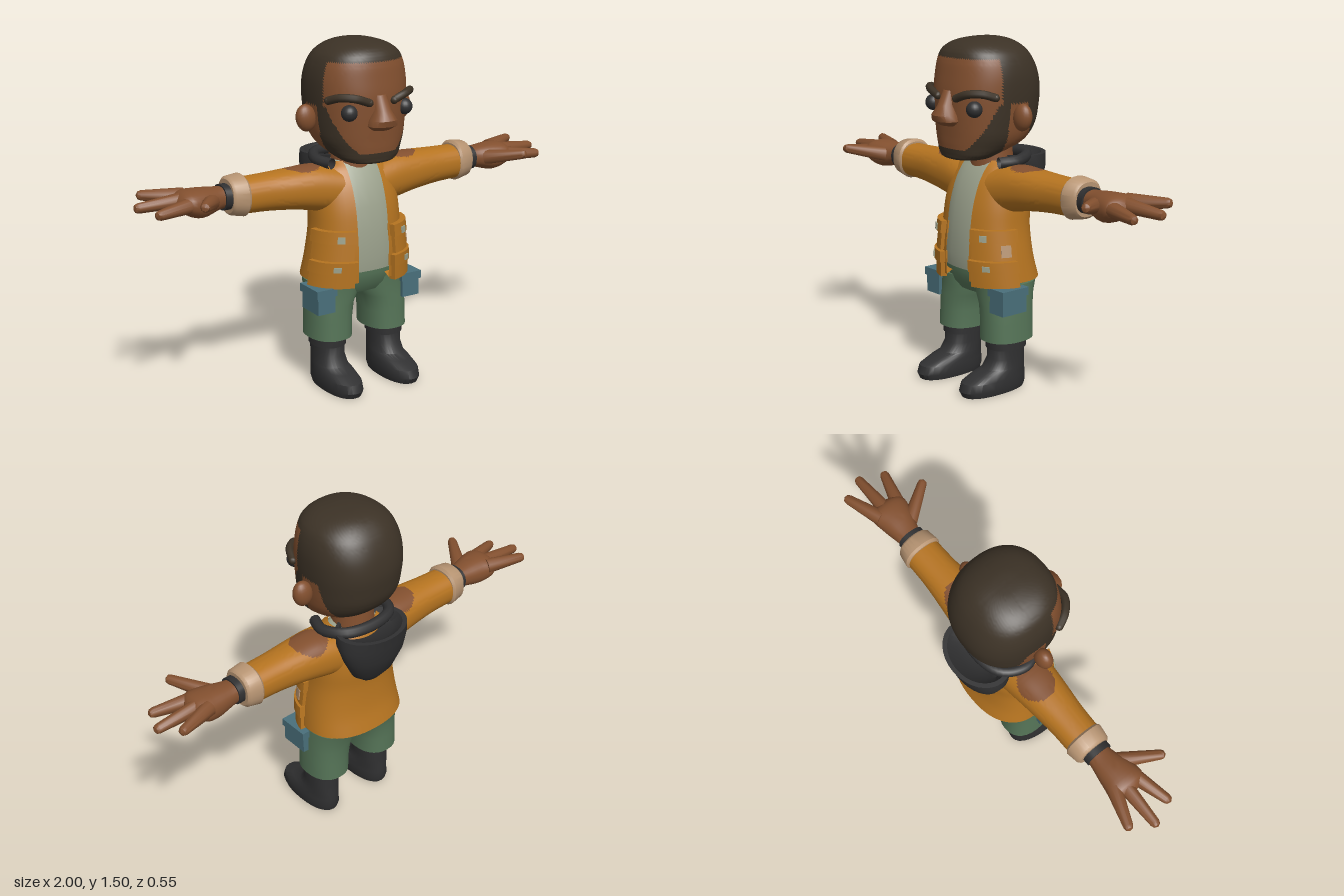
import * as THREE from 'three';
import { toCreasedNormals } from 'three/addons/utils/BufferGeometryUtils.js';

const mat = (name, color, side = THREE.FrontSide) => {
  const m = new THREE.MeshStandardMaterial({ color, side });
  m.name = name;
  return m;
};
const power = (v, p) => Math.sign(v) * Math.abs(v) ** p;

// smooth extra rows between the given ones
function smoothRows(rows, count) {
  const size = rows[0].length;
  const curve = new THREE.CubicInterpolant(
    new Float32Array(rows.map((r, i) => i)), new Float32Array(rows.flat()), size);
  return Array.from({ length: count + 1 }, (_, i) =>
    Array.from(curve.evaluate((i / count) * (rows.length - 1))));
}

// skin over rounded sections: row = [y, half width, z front, z back, centre x]
// gap leaves an open front, a0..a1 limits the sweep (0 = front, PI/2 = +x)
function loft(rows, { n = 28, e = 2.3, gap = 0, a0 = 0, a1 = Math.PI * 2, inset = 0 } = {}) {
  const pos = [], index = [];
  for (const [y, w, zf, zb, cx = 0] of rows) {
    const g = gap ? Math.asin(Math.min(0.9, gap / w) ** (e / 2)) : 0;
    for (let i = 0; i <= n; i++) {
      const edge = inset && (i === 0 || i === n);
      const k = inset ? (Math.min(Math.max(i, 1), n - 1) - 1) / (n - 2) : i / n;
      const a = a0 + g + (a1 - a0 - 2 * g) * k, s = edge ? inset : 0;
      pos.push(cx + (w - s) * power(Math.sin(a), 2 / e), y,
        (zf + zb) / 2 + ((zf - zb) / 2 - s) * power(Math.cos(a), 2 / e));
    }
  }
  for (let j = 0; j < rows.length - 1; j++) for (let i = 0; i < n; i++) {
    const p = j * (n + 1) + i, q = p + n + 1;
    index.push(p, p + 1, q, p + 1, q + 1, q);
  }
  const geo = new THREE.BufferGeometry();
  geo.setAttribute('position', new THREE.Float32BufferAttribute(pos, 3));
  geo.setIndex(index);
  return toCreasedNormals(geo, 0.7);
}

// sort triangles into material groups by a rule on their centre
function paint(geo, kinds, rule) {
  const p = geo.attributes.position, lists = Array.from({ length: kinds }, () => []);
  for (let i = 0; i < p.count; i += 3) {
    const mid = f => (p[f](i) + p[f](i + 1) + p[f](i + 2)) / 3;
    lists[rule(mid('getX'), mid('getY'), mid('getZ'))].push(i, i + 1, i + 2);
  }
  geo.setIndex(lists.flat());
  let start = 0;
  lists.forEach((l, k) => { geo.addGroup(start, l.length, k); start += l.length; });
  return geo;
}

const close = r => [r[0], 0, (r[2] + r[3]) / 2, (r[2] + r[3]) / 2, r[4] || 0];
const capped = rows => [close(rows[0]), ...rows, close(rows[rows.length - 1])];

// round tapering finger from a to b
function finger(a, b, ra, rb) {
  const A = new THREE.Vector3(...a), d = new THREE.Vector3(...b).sub(A), L = d.length();
  const rows = [[0, 0], [0, ra], [L - rb, rb], [L - rb * 0.35, rb * 0.75], [L, 0]];
  const geo = loft(rows.map(([y, r]) => [y, r, r, -r]), { n: 12, e: 2 });
  geo.applyQuaternion(new THREE.Quaternion().setFromUnitVectors(new THREE.Vector3(0, 1, 0), d.normalize()));
  return geo.translate(...a);
}

const jacketRows = [
  [0.48, 0.235, 0.165, -0.19], [0.58, 0.222, 0.168, -0.165], [0.7, 0.205, 0.16, -0.155],
  [0.8, 0.2, 0.145, -0.16], [0.89, 0.19, 0.115, -0.15], [0.95, 0.165, 0.08, -0.13], [0.985, 0.11, 0.05, -0.1],
];

// raised patch that follows the jacket surface
function jacketPatch(y0, y1, a0, a1, off) {
  const at = (y, o) => {
    const i = Math.max(0, jacketRows.findLastIndex(r => r[0] <= y));
    const A = jacketRows[i], B = jacketRows[i + 1], t = (y - A[0]) / (B[0] - A[0]);
    const [, w, f, b] = A.map((v, k) => v + (B[k] - v) * t);
    return [y, w + o, f + o, b - o];
  };
  return loft([at(y0, -0.01), at(y0, off), at(y1, off), at(y1, -0.01)], { n: 14, a0, a1, inset: off + 0.01 });
}

export function createModel() {
  const skin = mat('skin', 0x83502f), hair = mat('hair', 0x3c3226), black = mat('black', 0x303031, THREE.DoubleSide);
  const orange = mat('orange jacket', 0xb67420, THREE.DoubleSide), shirtMat = mat('pale shirt', 0x9ca28d);
  const green = mat('green trousers', 0x567558), tan = mat('tan cuff', 0xb89573), teal = mat('teal pouch', 0x4a707b);
  const model = new THREE.Group();
  const add = (parent, name, geo, material) => {
    const m = new THREE.Mesh(geo, material);
    m.name = name;
    parent.add(m);
    return m;
  };

  // head with painted hair and beard
  const head = smoothRows([
    [1.0, 0, 0.13, 0.13], [1.0, 0.09, 0.19, 0.04], [1.02, 0.135, 0.2, 0.0], [1.06, 0.17, 0.205, -0.12],
    [1.1, 0.19, 0.207, -0.17], [1.15, 0.2, 0.21, -0.2], [1.21, 0.206, 0.213, -0.212], [1.28, 0.21, 0.214, -0.217],
    [1.35, 0.207, 0.206, -0.205], [1.41, 0.192, 0.196, -0.18], [1.45, 0.167, 0.18, -0.15],
    [1.48, 0.12, 0.14, -0.11], [1.496, 0.06, 0.07, -0.06], [1.5, 0, 0, 0],
  ], 78);
  add(model, 'head', paint(loft(head, { n: 120 }), 2, (x, y, z) => {
    if (y > 1.422 || (z > 0.07 && y < 1.045)) return 1;
    if (y > 1.24) return z < 0.08 ? 1 : 0;
    const beard = z > 0.045 && z < 0.09 + (1.24 - y) * 0.5;
    const nape = y > 1.05 && z < -0.05 - (1.24 - y) * 0.3;
    return beard || nape ? 1 : 0;
  }), [skin, hair]);
  add(model, 'nose', loft(capped([
    [1.145, 0.042, 0.235, 0.16], [1.165, 0.065, 0.268, 0.16], [1.19, 0.06, 0.275, 0.16],
    [1.23, 0.036, 0.252, 0.16], [1.29, 0.03, 0.222, 0.16],
  ]), { n: 16 }), skin);
  add(model, 'neck', new THREE.CylinderGeometry(0.085, 0.095, 0.15, 24).translate(0, 1.0, -0.03), skin);

  // jacket, shirt and hips
  const hem = [0.505, 0.19, 0.115, -0.14];
  add(model, 'jacket', loft([hem, ...smoothRows(jacketRows, 24)], { n: 48, gap: 0.076 }), orange);
  add(model, 'shirt', loft(capped([[0.52, 0.2, 0.148, -0.13],
    ...jacketRows.slice(1).map(([y, w, f, b]) => [y, w - 0.016, f - 0.014, b + 0.016])])), shirtMat);
  add(model, 'hips', loft(capped([[0.415, 0.18, 0.1, -0.12], [0.45, 0.215, 0.122, -0.14],
    [0.5, 0.215, 0.135, -0.15], [0.545, 0.2, 0.135, -0.14]])), green);

  // hood and collar
  add(model, 'hood', loft([
    [0.745, 0, -0.16, -0.16], [0.745, 0.05, -0.13, -0.18], [0.79, 0.105, -0.1, -0.215], [0.88, 0.15, -0.07, -0.25],
    [0.95, 0.17, -0.04, -0.262], [1.0, 0.165, -0.02, -0.272], [1.0, 0.145, -0.03, -0.255],
    [0.96, 0.12, -0.04, -0.21], [0.93, 0, -0.1, -0.1],
  ], { n: 32, e: 2 }), black);
  const collar = new THREE.CatmullRomCurve3([[-0.14, 0.985, 0.05], [-0.165, 0.99, -0.03], [-0.12, 1.0, -0.12],
    [0, 1.0, -0.15], [0.12, 1.0, -0.12], [0.165, 0.99, -0.03], [0.14, 0.985, 0.05]].map(p => new THREE.Vector3(...p)));
  add(model, 'collar', new THREE.TubeGeometry(collar, 32, 0.024, 10), black);

  // mirrored parts, made for +x
  for (const s of [1, -1]) {
    const half = new THREE.Group();
    half.name = s > 0 ? 'leftSide' : 'rightSide';
    half.scale.x = s;
    model.add(half);
    const sideways = (rows, opts) => loft(rows, opts).rotateZ(-Math.PI / 2);

    // face
    add(half, 'eye', new THREE.SphereGeometry(0.034, 20, 14).translate(0.135, 1.222, 0.178), black);
    const browPoints = [[0.06, 1.262, 0.212], [0.12, 1.283, 0.205], [0.17, 1.286, 0.165], [0.196, 1.27, 0.115]]
      .map(p => new THREE.Vector3(...p));
    add(half, 'eyebrow', new THREE.TubeGeometry(new THREE.CatmullRomCurve3(browPoints), 14, 0.017, 8), hair);
    for (const p of [browPoints[0], browPoints[3]])
      add(half, 'eyebrowEnd', new THREE.SphereGeometry(0.017, 10, 8).translate(p.x, p.y, p.z), hair);
    add(half, 'ear', new THREE.SphereGeometry(1, 18, 14).scale(0.045, 0.058, 0.034)
      .rotateZ(-0.2).translate(0.236, 1.184, 0.005), skin);

    // arm
    const sleeve = smoothRows([[0.1, 0.1, 0.1, -0.13, -0.865], [0.2, 0.098, 0.088, -0.12, -0.88],
      [0.3, 0.087, 0.078, -0.11, -0.888], [0.42, 0.078, 0.065, -0.1, -0.892], [0.54, 0.074, 0.06, -0.098, -0.893]], 40);
    add(half, 'sleeve', paint(sideways(sleeve, { n: 56 }), 2, (x, y, z) =>
      y > 0.9 && ((x - 0.24) / 0.085) ** 2 + ((z + 0.03) / 0.075) ** 2 < 1 ? 1 : 0), [orange, skin]);
    add(half, 'cuff', sideways(capped([[0.525, 0.078, 0.062, -0.1, -0.897], [0.535, 0.089, 0.068, -0.108, -0.897],
      [0.59, 0.08, 0.06, -0.1, -0.9], [0.6, 0.07, 0.052, -0.09, -0.9]])), tan);
    add(half, 'wristBand', sideways(capped([[0.59, 0.053, 0.045, -0.075, -0.9], [0.628, 0.053, 0.045, -0.075, -0.9]])), black);
    add(half, 'palm', sideways(smoothRows([[0.57, 0.044, 0.035, -0.065, -0.902], [0.64, 0.046, 0.038, -0.07, -0.9],
      [0.73, 0.06, 0.068, -0.085, -0.895], [0.8, 0.044, 0.068, -0.09, -0.905], [0.84, 0, -0.01, -0.01, -0.91]], 16)), skin);
    [[[0.77, 0.917, -0.062], [0.945, 0.93, -0.128]], [[0.77, 0.915, -0.02], [1.0, 0.905, -0.025]],
      [[0.77, 0.905, 0.035], [0.955, 0.895, 0.085]], [[0.69, 0.9, 0.03], [0.797, 0.932, 0.19]]]
      .forEach(([a, b], i) => add(half, i < 3 ? 'finger' : 'thumb', finger(a, b, 0.034, 0.021), skin));

    // jacket pockets with flaps and tags
    add(half, 'upperPocket', jacketPatch(0.585, 0.7, 0.4, 1.46, 0.016), orange);
    add(half, 'upperFlap', jacketPatch(0.66, 0.712, 0.37, 1.49, 0.024), orange);
    add(half, 'lowerPocket', jacketPatch(0.465, 0.57, 0.36, 1.42, 0.016), orange);
    add(half, 'lowerFlap', jacketPatch(0.53, 0.58, 0.33, 1.45, 0.024), orange);
    add(half, 'upperTag', jacketPatch(0.665, 0.692, 0.6, 0.76, 0.029), shirtMat);
    add(half, 'lowerTag', jacketPatch(0.54, 0.563, 0.64, 0.8, 0.029), shirtMat);
    if (s > 0) add(half, 'pocketPatch', jacketPatch(0.6, 0.65, 1.08, 1.32, 0.02), tan);

    // leg, pouch and boot
    add(half, 'trouserLeg', loft(capped([[0.22, 0.096, 0.122, -0.112, 0.14], [0.3, 0.096, 0.12, -0.112, 0.138],
      [0.37, 0.1, 0.12, -0.115, 0.132], [0.42, 0.112, 0.12, -0.125, 0.118], [0.47, 0.11, 0.125, -0.14, 0.118]])), green);
    add(half, 'pouch', new THREE.BoxGeometry(0.085, 0.1, 0.13).translate(0.215, 0.408, 0.062), teal);
    add(half, 'pouchFlap', new THREE.BoxGeometry(0.1, 0.035, 0.142).translate(0.215, 0.45, 0.062), teal);
    add(half, 'boot', loft(capped([[0, 0.07, 0.245, -0.07, 0.146], [0.025, 0.077, 0.258, -0.078, 0.146],
      [0.06, 0.075, 0.247, -0.076, 0.146], [0.085, 0.071, 0.185, -0.074, 0.146], [0.1, 0.068, 0.13, -0.072, 0.146],
      [0.14, 0.066, 0.1, -0.069, 0.146], [0.2, 0.067, 0.098, -0.068, 0.146]])), black);
    add(half, 'bootRim', loft(capped([[0.183, 0.074, 0.103, -0.075, 0.146], [0.225, 0.074, 0.103, -0.075, 0.146]])), black);
  }
  return model;
}
